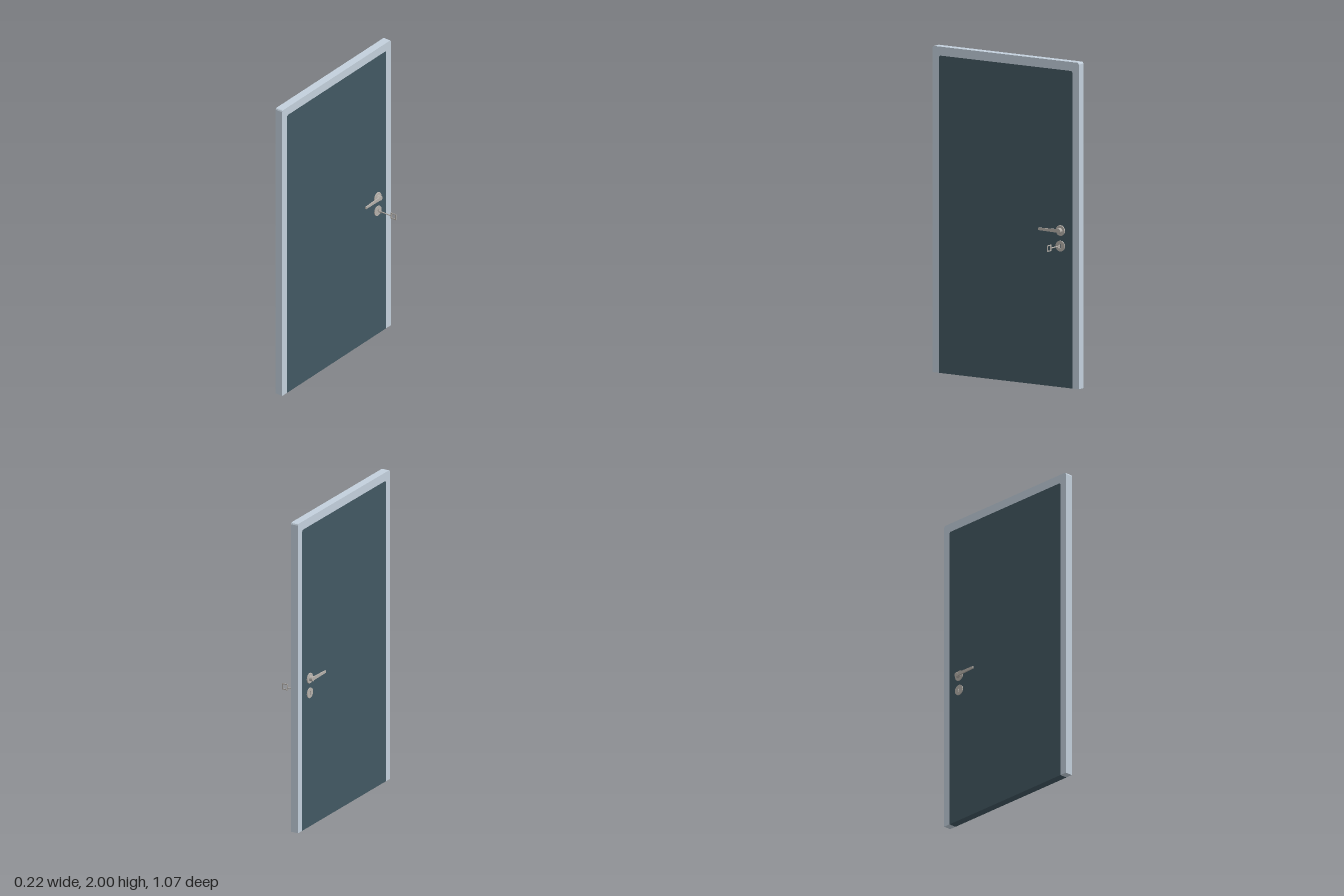
import * as THREE from 'three';

const FRAME = new THREE.MeshStandardMaterial({ color: 0xc3d0dc });
const PANEL = new THREE.MeshStandardMaterial({ color: 0x425862 });
const METAL = new THREE.MeshStandardMaterial({ color: 0xb5b0aa });

const DOOR_X = -0.06, HALF = 0.025, LOCK_Z = -0.4, HANDLE_Y = 0.96, KEY_Y = 0.865;

function addMesh(parent, name, geometry, material) {
  const mesh = new THREE.Mesh(geometry, material);
  mesh.name = name;
  parent.add(mesh);
  return mesh;
}

// Upright outline with its two top corners cut; h runs along the door's width
function doorPoints(half, top, cut) {
  return [[-half, 0], [half, 0], [half, top - cut], [half - cut * 0.3, top - cut * 0.3],
    [half - cut, top], [cut - half, top], [cut * 0.3 - half, top - cut * 0.3], [-half, top - cut]]
    .map(([h, y]) => new THREE.Vector2(h, y));
}

// Extrudes an (h, y) shape along x, centred, with h pointing to -z
function slab(shape, depth) {
  return new THREE.ExtrudeGeometry(shape, { depth, bevelEnabled: false, curveSegments: 8 })
    .translate(0, 0, -depth / 2).rotateY(Math.PI / 2);
}

// Turned part pointing out of the door face on side s
function turned(points, s) {
  const profile = points.map(([r, u]) => new THREE.Vector2(r, u));
  const g = new THREE.LatheGeometry(profile, 24).toNonIndexed();
  g.rotateZ(-s * Math.PI / 2);
  g.computeVertexNormals();
  return g;
}

// Lever: top outline extruded in height, slimmer towards the tip
function leverGeometry(s) {
  const shape = new THREE.Shape();
  shape.moveTo(s * 0.027, 0);
  shape.lineTo(s * 0.0285, 0.146);
  shape.lineTo(s * 0.0215, 0.147);
  shape.lineTo(s * 0.019, 0.035);
  shape.quadraticCurveTo(s * 0.018, 0.014, s * 0.01, 0.012);
  shape.lineTo(s * 0.01, 0);
  shape.closePath();
  const g = new THREE.ExtrudeGeometry(shape, { depth: 0.022, bevelEnabled: false, curveSegments: 6 });
  g.translate(0, 0, -0.011).rotateX(Math.PI / 2);
  const p = g.attributes.position;
  for (let i = 0; i < p.count; i++) {
    p.setY(i, p.getY(i) * (1 - 0.35 * p.getZ(i) / 0.147));
  }
  g.computeVertexNormals();
  return g;
}

// Round plate pierced by a keyhole
function escutcheonGeometry() {
  const plate = new THREE.Shape().absarc(0, 0, 0.033, 0, Math.PI * 2);
  const hole = new THREE.Path();
  hole.moveTo(-0.0025, -0.014);
  hole.lineTo(-0.0025, 0.004);
  hole.absarc(0, 0.008, 0.005, Math.PI * 1.33, Math.PI * 1.67, true);
  hole.lineTo(0.0025, -0.014);
  hole.closePath();
  plate.holes.push(hole);
  return slab(plate, 0.006);
}

function makeKey() {
  const key = new THREE.Group();
  key.name = 'key';
  const shaft = addMesh(key, 'keyShaft', new THREE.CylinderGeometry(0.0035, 0.0035, 0.09, 12), METAL);
  shaft.rotation.z = Math.PI / 2;
  shaft.position.x = 0.023;
  const bit = addMesh(key, 'keyBit', new THREE.BoxGeometry(0.015, 0.012, 0.003), METAL);
  bit.position.set(-0.0115, -0.006, 0);

  // Square bow with a square opening
  const bow = new THREE.Shape();
  const w = 0.02;
  bow.moveTo(-w, -w).lineTo(w, -w).lineTo(w, w).lineTo(-w, w).closePath();
  const hole = new THREE.Path();
  const i = 0.014;
  hole.moveTo(-i, -i).lineTo(-i, i).lineTo(i, i).lineTo(i, -i).closePath();
  bow.holes.push(hole);
  const g = new THREE.ExtrudeGeometry(bow, { depth: 0.004, bevelEnabled: false });
  addMesh(key, 'keyBow', g.translate(0.088, 0.002, -0.002), METAL);
  return key;
}

export function createModel() {
  const model = new THREE.Group();
  model.name = 'door';

  // Frame: two jambs and a header in one U-shaped piece
  const outer = doorPoints(0.533, 2, 0.011);
  const inner = doorPoints(0.486, 1.945, 0.011);
  const frameShape = new THREE.Shape([
    ...outer.slice(1), outer[0], inner[0], ...inner.slice(1).reverse(),
  ]);
  addMesh(model, 'frame', slab(frameShape, HALF * 2), FRAME).position.x = DOOR_X;

  // Door leaf filling the frame
  addMesh(model, 'leaf', slab(new THREE.Shape(inner), HALF * 2), PANEL).position.x = DOOR_X;

  // Handle and lock plate on both faces
  for (const s of [1, -1]) {
    const handle = new THREE.Group();
    handle.name = s > 0 ? 'leftHandle' : 'rightHandle';
    handle.position.set(DOOR_X + s * HALF, HANDLE_Y, LOCK_Z);
    addMesh(handle, 'rosette',
      turned([[0.033, 0], [0.033, 0.004], [0.031, 0.006], [0.02, 0.006], [0, 0.006]], s), METAL);
    addMesh(handle, 'neck',
      turned([[0.018, 0.005], [0.0155, 0.009], [0.0155, 0.026], [0.0145, 0.0275], [0, 0.0275]], s), METAL);
    addMesh(handle, 'lever', leverGeometry(s), METAL);
    model.add(handle);

    const plate = addMesh(model, 'lockPlate', escutcheonGeometry(), METAL);
    plate.position.set(DOOR_X + s * (HALF + 0.003), KEY_Y, LOCK_Z);
  }

  // Key drawn partly out of the left lock plate
  const key = makeKey();
  key.position.set(0, KEY_Y + 0.002, LOCK_Z);
  model.add(key);

  return model;
}
